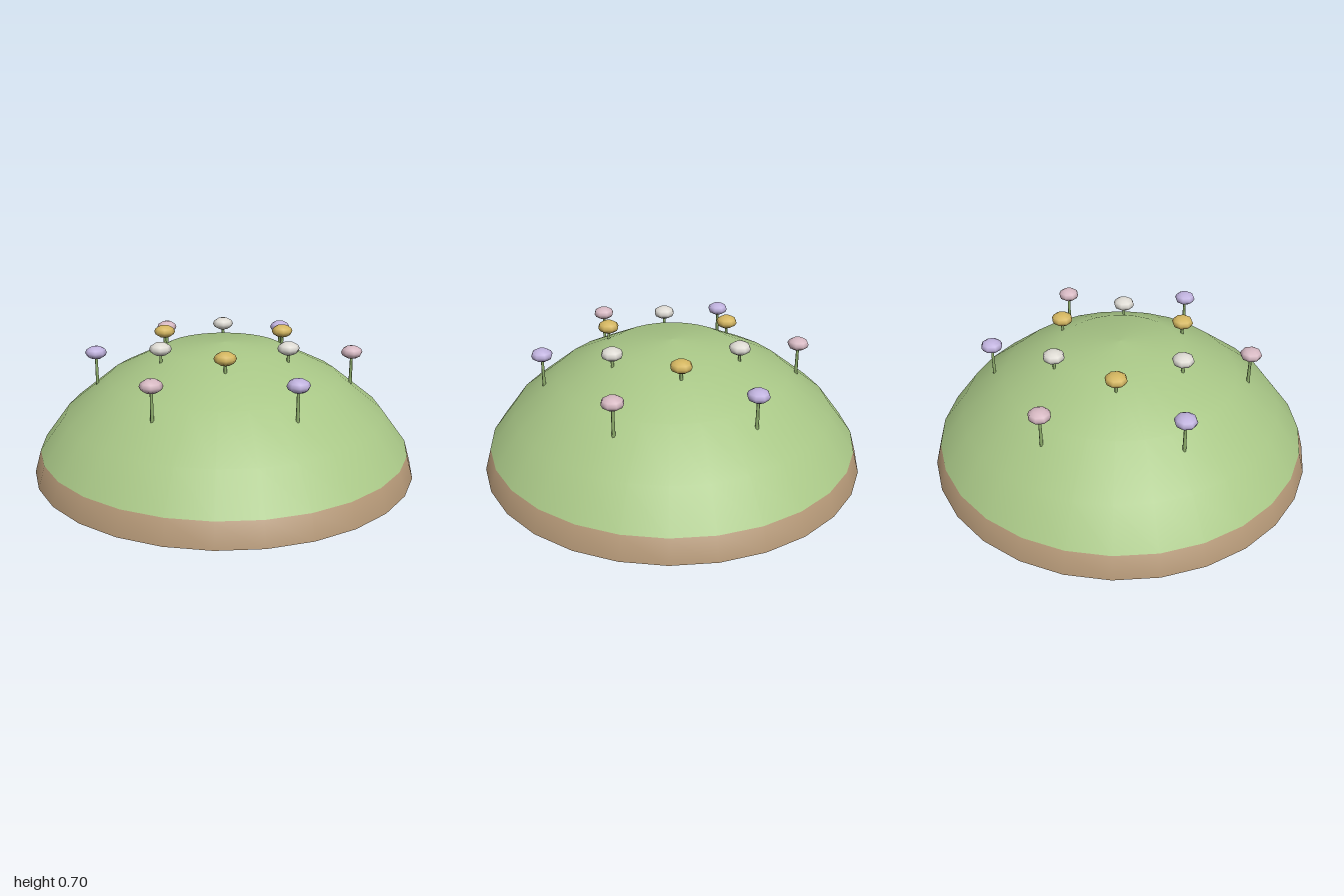
import * as THREE from 'three';

const mat = (name, color, side = THREE.FrontSide) => {
  const m = new THREE.MeshStandardMaterial({ color, side });
  m.name = name;
  return m;
};

export function createModel() {
  const group = new THREE.Group();
  const grass = mat('grass green', 0xa8c686, THREE.DoubleSide);
  const soil = mat('soil brown', 0xb09474, THREE.DoubleSide);
  const stemGreen = mat('stem green', 0x8fae6c);
  const white = mat('petal white', 0xdedbd4);
  const yellow = mat('petal yellow', 0xd4b660);
  const pink = mat('petal pink', 0xd6b8c2);
  const purple = mat('petal purple', 0xc0b2de);

  const add = (name, geometry, material, parent = group) => {
    const mesh = new THREE.Mesh(geometry, material);
    mesh.name = name;
    parent.add(mesh);
    return mesh;
  };
  const dome = (points) =>
    new THREE.LatheGeometry(points.map(([r, y]) => new THREE.Vector2(r, y)), 28);

  // Open soil shell, with the grass cap lying just over it
  add('soilShell', dome([[1, 0], [0.965, 0.12], [0.815, 0.285], [0.585, 0.465], [0.3, 0.6], [0, 0.625]]), soil);
  add('grassCap', dome([[0.965, 0.12], [0.83, 0.3], [0.6, 0.483], [0.31, 0.625], [0, 0.653]]), grass);

  // Flowers: a thin stem under a flattened head
  const headGeometry = new THREE.SphereGeometry(0.056, 8, 6).scale(1, 0.6, 1);
  const flower = (x, z, headY, footY, petal) => {
    const f = new THREE.Group();
    f.name = 'flower';
    f.position.set(x, 0, z);
    const stem = add('stem', new THREE.CylinderGeometry(0.007, 0.009, headY - footY, 6), stemGreen, f);
    stem.position.y = (headY + footY) / 2;
    add('flowerHead', headGeometry, petal, f).position.y = headY;
    group.add(f);
  };

  // Two rings of six flowers with alternating colours
  const ring = (radius, startDeg, headY, footY, petals) => {
    for (let i = 0; i < 6; i++) {
      const a = THREE.MathUtils.degToRad(startDeg + i * 60);
      flower(radius * Math.cos(a), radius * Math.sin(a), headY, footY, petals[i % 2]);
    }
  };
  ring(0.665, 18.5, 0.597, 0.42, [purple, pink]);
  ring(0.366, -12, 0.665, 0.49, [white, yellow]);

  return group;
}
